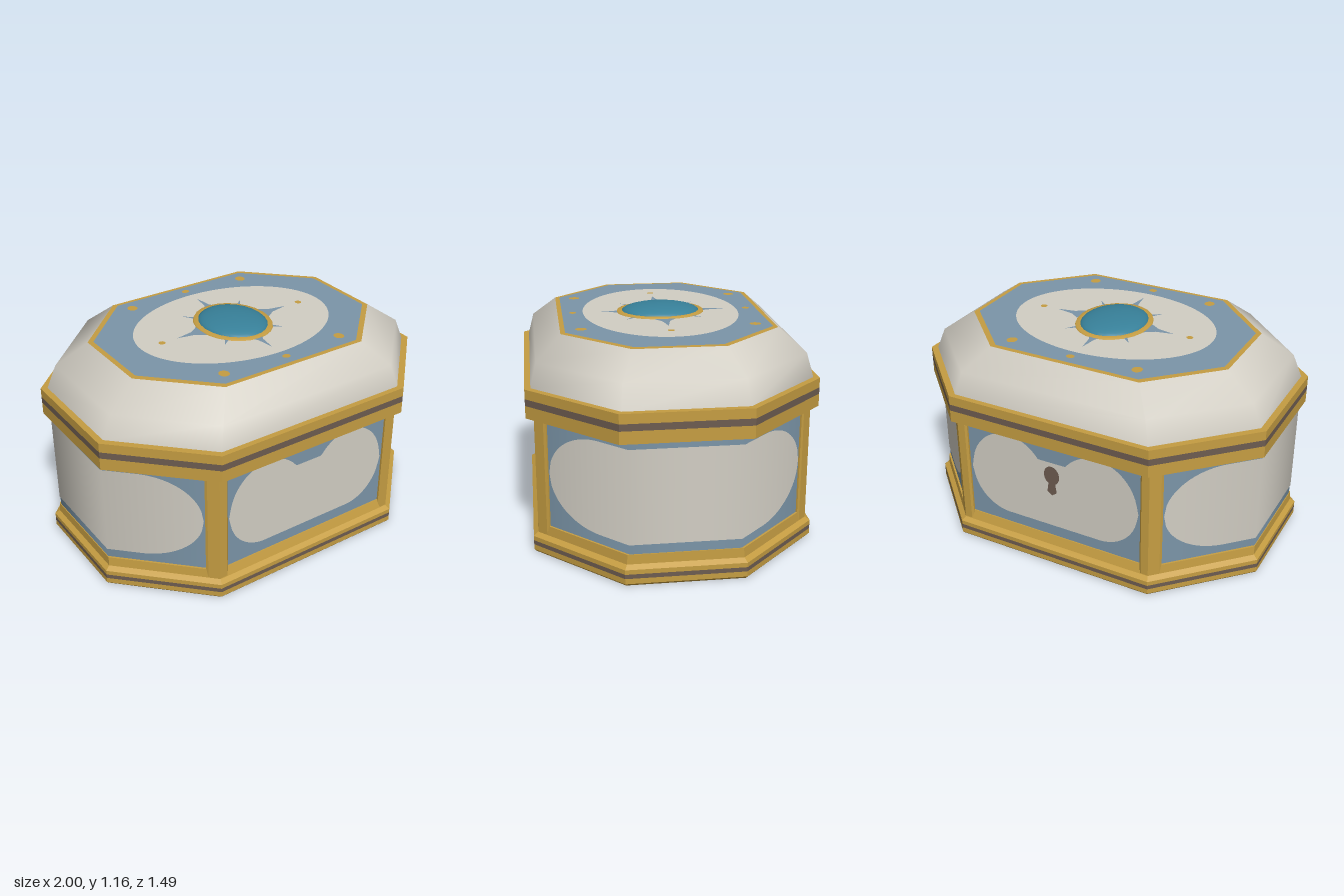
import * as THREE from 'three';

const mat = (name, color) => {
  const m = new THREE.MeshStandardMaterial({ color });
  m.name = name;
  return m;
};

// Corners of a rectangle (half sizes x, z) with its corners cut off
const octagon = (x, z, cut) => [
  [x, -z + cut], [x, z - cut], [x - cut, z], [-x + cut, z],
  [-x, z - cut], [-x, -z + cut], [-x + cut, -z], [x - cut, -z],
];

// Surface through stacked octagons, each given as [x, z, cut, y]
function loft(rings, smooth = false) {
  const pos = [], idx = [];
  rings.forEach(([x, z, cut, y]) => octagon(x, z, cut).forEach(([px, pz]) => pos.push(px, y, pz)));
  for (let i = 0; i < rings.length - 1; i++) {
    for (let j = 0; j < 8; j++) {
      const a = i * 8 + j, b = i * 8 + (j + 1) % 8;
      idx.push(a, a + 8, b, b, a + 8, b + 8);
    }
  }
  let g = new THREE.BufferGeometry();
  g.setAttribute('position', new THREE.Float32BufferAttribute(pos, 3));
  g.setIndex(idx);
  if (!smooth) g = g.toNonIndexed();
  g.computeVertexNormals();
  return g;
}

// Upright strip along a path of [x, z, normal angle]; lo and hi give its edges
// from the distance u to the middle of the path
function strip(path, lo, hi, offset, steps) {
  const pos = [], nor = [], idx = [];
  const len = path.slice(1).map((p, i) => Math.hypot(p[0] - path[i][0], p[1] - path[i][1]));
  let start = -len.reduce((a, b) => a + b) / 2;
  len.forEach((l, i) => {
    for (let k = i ? 1 : 0; k <= steps; k++) {
      const t = k / steps;
      const [x, z, deg] = path[i].map((v, c) => v + (path[i + 1][c] - v) * t);
      const nx = Math.cos(deg * Math.PI / 180), nz = Math.sin(deg * Math.PI / 180);
      const u = Math.abs(start + l * t);
      for (const y of [lo(u), hi(u)]) {
        pos.push(x + nx * offset, y, z + nz * offset);
        nor.push(nx, 0, nz);
      }
    }
    start += l;
  });
  for (let a = 0; a < pos.length / 3 - 2; a += 2) idx.push(a, a + 1, a + 2, a + 2, a + 1, a + 3);
  const g = new THREE.BufferGeometry();
  g.setAttribute('position', new THREE.Float32BufferAttribute(pos, 3));
  g.setAttribute('normal', new THREE.Float32BufferAttribute(nor, 3));
  g.setIndex(idx);
  return g;
}

const shapeOf = (pts) => new THREE.Shape(pts.map(([x, y]) => new THREE.Vector2(x, y)));
const ellipse = (rx, rz) => new THREE.Shape().absellipse(0, 0, rx, rz, 0, Math.PI * 2);
const arc = (t) => Math.sqrt(Math.max(0, 1 - t * t));

export function createModel() {
  const gold = mat('gold', 0xc59d42);
  const dark = mat('dark bronze', 0x6d5c50);
  const cream = mat('cream', 0xd2cec4);
  const blue = mat('dusty blue', 0x7b95a8);
  const teal = mat('teal gem', 0x378099);

  const root = new THREE.Group();
  root.name = 'casket';
  const add = (name, geometry, material) => {
    const m = new THREE.Mesh(geometry, material);
    m.name = name;
    root.add(m);
    return m;
  };

  // Foot moulding with its dark stripe
  add('base', loft([[0, 0, 0, 0], [0.99, 0.72, 0.425, 0], [1, 0.73, 0.43, 0.012], [1, 0.73, 0.43, 0.04]]), gold);
  add('baseStripe', loft([[1, 0.73, 0.43, 0.04], [1, 0.73, 0.43, 0.063]]), dark);
  add('baseTop', loft([[1, 0.73, 0.43, 0.063], [1, 0.73, 0.43, 0.087], [0.976, 0.706, 0.417, 0.105],
    [0.974, 0.69, 0.405, 0.155], [0.94, 0.66, 0.4, 0.157]]), gold);

  // Wall panels: flat ones front and back, wrapped ones at both ends
  const flat = [[0.55, 0.685, 90], [-0.55, 0.685, 90]];
  const wrap = [[0.585, -0.66, -45], [0.97, -0.275, -22.5], [0.97, 0.275, 22.5], [0.585, 0.66, 45]];
  const flatLo = (u) => 0.45 - 0.23 * arc(Math.max(0, (u - 0.27) / 0.22));
  const flatHi = (u) => Math.max(u < 0.1 ? 0.61 : 0, 0.45 + 0.255 * arc((u - 0.26) / 0.23));
  const wrapArc = (u) => 0.245 * arc(Math.max(0, (u - 0.455) / 0.33));
  [['front', 'left', 0], ['back', 'right', Math.PI]].forEach(([long, end, turn]) => {
    const parts = [
      add(long + 'Wall', strip(flat, () => 0.13, () => 0.74, 0, 1), blue),
      add(long + 'Cartouche', strip(flat, flatLo, flatHi, 0.004, 120), cream),
      add(end + 'Wall', strip(wrap, () => 0.13, () => 0.74, 0, 8), blue),
      add(end + 'Cartouche', strip(wrap, (u) => 0.45 - wrapArc(u), (u) => 0.45 + wrapArc(u), 0.004, 48), cream),
    ];
    parts.forEach((p) => { p.rotation.y = turn; });
  });

  // Corner posts
  for (const sx of [1, -1]) {
    for (const sz of [1, -1]) {
      const outline = [[0.508, 0.66], [0.508, 0.696], [0.518, 0.705], [0.56, 0.705], [0.604, 0.661], [0.61, 0.648], [0.59, 0.63]];
      const g = new THREE.ExtrudeGeometry(shapeOf(outline.map(([x, z]) => [x * sx, -z * sz])), { depth: 0.64, bevelEnabled: false });
      add('cornerPost', g.rotateX(-Math.PI / 2).translate(0, 0.1, 0), gold);
    }
  }

  // Keyhole plate on the back
  const head = new THREE.Shape().absellipse(0, 0.535, 0.045, 0.055, 0, Math.PI * 2);
  const stem = shapeOf([[-0.018, 0.5], [-0.028, 0.435], [0, 0.415], [0.028, 0.435], [0.018, 0.5]]);
  add('keyhole', new THREE.ShapeGeometry([head, stem], 16).rotateY(Math.PI).translate(0, 0, -0.693), dark);

  // Lid rim with its dark stripe
  const rim = [0.995, 0.745, 0.425];
  add('rimLower', loft([[0.9, 0.63, 0.4, 0.73], [...rim, 0.73], [...rim, 0.795]]), gold);
  add('rimStripe', loft([[...rim, 0.795], [...rim, 0.83]]), dark);
  add('rimUpper', loft([[...rim, 0.83], [...rim, 0.88], [0.9, 0.65, 0.4, 0.88]]), gold);

  // Domed lid
  add('lid', loft([[0.962, 0.715, 0.41, 0.88], [0.912, 0.685, 0.39, 1], [0.748, 0.556, 0.325, 1.115]], true), cream);

  // Inlaid top, thin layers one above the other
  const lay = (name, shape, y, material) =>
    add(name, new THREE.ShapeGeometry(shape, 48).rotateX(-Math.PI / 2).translate(0, y, 0), material);
  lay('topBorder', shapeOf(octagon(0.748, 0.556, 0.325)), 1.115, gold);
  lay('topField', shapeOf(octagon(0.722, 0.532, 0.315)), 1.117, blue);
  lay('topOval', ellipse(0.563, 0.42), 1.119, cream);

  // Star rays around the gem
  const rays = [[0.35, 0, 0.055], [0, 0.355, 0.042], [0.19, 0.205, 0.035], [-0.19, 0.205, 0.035]];
  rays.forEach(([x, z, w]) => {
    const l = Math.hypot(x, z), nx = -z / l * w, nz = x / l * w;
    const a = 0.57, b = 0.72;
    const half = (s) => [[x * s * a + nx * s, z * s * a + nz * s], [x * s * a - nx * s, z * s * a - nz * s],
      [x * s * b - nx * s * 0.35, z * s * b - nz * s * 0.35], [x * s, z * s],
      [x * s * b + nx * s * 0.35, z * s * b + nz * s * 0.35]];
    lay('starRay', [shapeOf(half(1)), shapeOf(half(-1))], 1.121, blue);
  });

  // Gold studs
  const studs = [[0.44, 0, 0.018, 0.018], [-0.44, 0, 0.018, 0.018], [0, 0.475, 0.022, 0.019], [0, -0.475, 0.022, 0.019]];
  for (const sx of [1, -1]) for (const sz of [1, -1]) studs.push([0.36 * sx, 0.45 * sz, 0.027, 0.03]);
  studs.forEach(([x, z, rx, rz]) => {
    lay('stud', ellipse(rx, rz), 1.121, gold).position.set(x, 0, z);
  });

  // Oval gem in its gold setting
  const lathe = (pts) => new THREE.LatheGeometry(pts.map(([x, y]) => new THREE.Vector2(x, y)), 24);
  add('gemSetting', lathe([[1, 0], [0.97, 0.012], [0.84, 0.012]]).scale(0.205, 1, 0.24).translate(0, 1.115, 0), gold);
  const dome = [];
  for (let i = 0; i <= 8; i++) {
    const a = i / 8 * Math.PI / 2;
    dome.push([Math.cos(a), 0.045 * Math.sin(a)]);
  }
  add('gem', lathe(dome).scale(0.178, 1, 0.212).translate(0, 1.12, 0), teal);

  return root;
}
